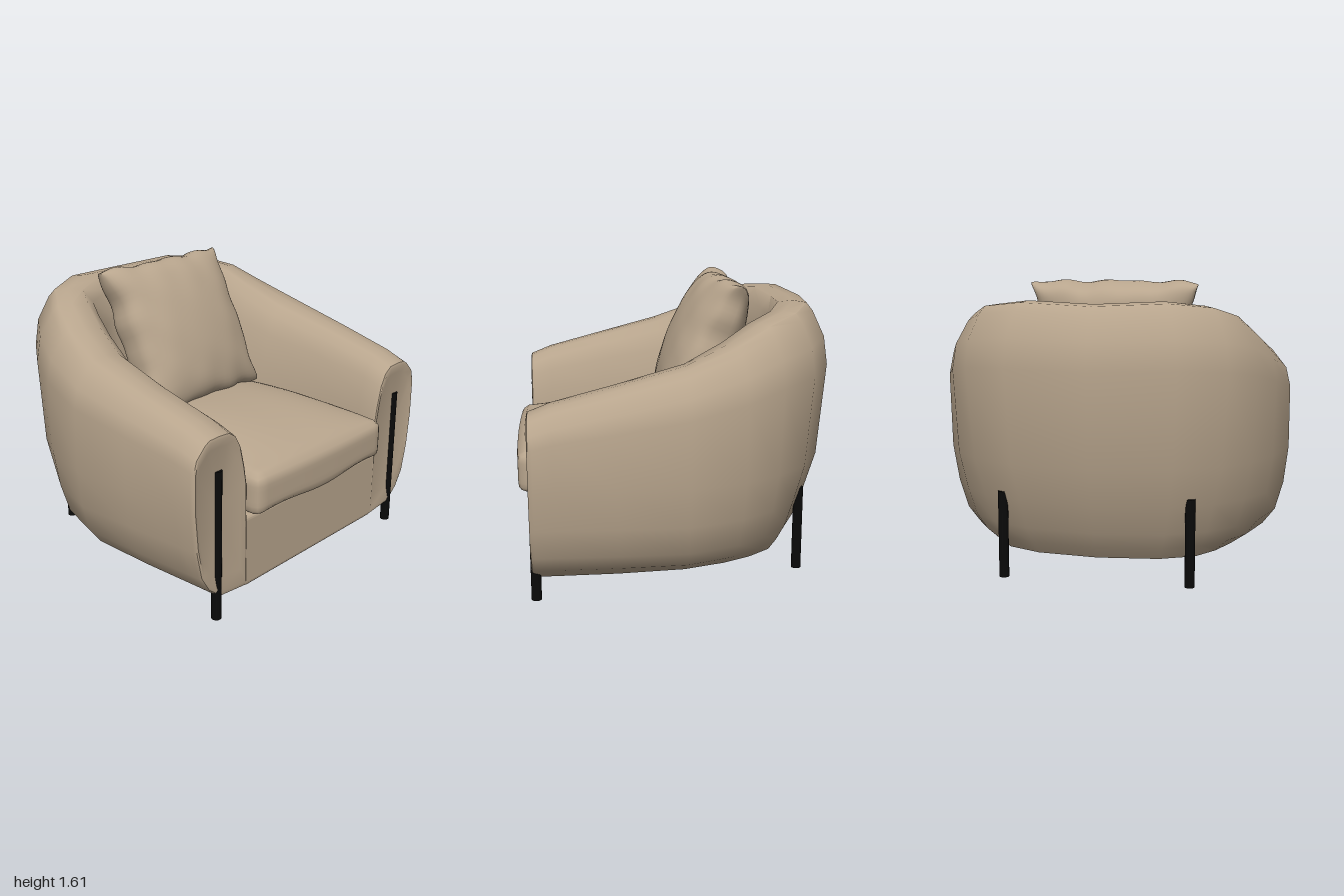
import * as THREE from 'three';
import { mergeVertices, mergeGeometries, toCreasedNormals } from 'three/addons/utils/BufferGeometryUtils.js';

const fabric = new THREE.MeshStandardMaterial({ color: 0xb8a58d });
fabric.name = 'taupe fabric';
const black = new THREE.MeshStandardMaterial({ color: 0x0a0a0a });
black.name = 'black metal';

// Stations of the tub from the left arm front to the back centre:
// outer x, outer z, inner x, inner z, top height, tuck of the lower wall
const half = [
  [0.96, 0.79, 0.56, 0.79, 1.02, 0],
  [0.965, 0.69, 0.56, 0.69, 1.06, 0],
  [0.985, 0.36, 0.55, 0.36, 1.145, 0],
  [1.00, 0.00, 0.50, 0.00, 1.24, 0],
  [0.93, -0.30, 0.46, -0.15, 1.34, 0.2],
  [0.84, -0.50, 0.43, -0.27, 1.43, 0.55],
  [0.70, -0.69, 0.39, -0.37, 1.48, 1],
  [0.45, -0.82, 0.25, -0.42, 1.505, 1],
  [0.00, -0.89, 0.00, -0.43, 1.49, 1],
];
const mirror = half.slice(0, -1).reverse().map(([a, b, c, d, ...rest]) => [-a, b, -c, d, ...rest]);
const stations = [...half, ...mirror];

// Cross-section, s running from inner (0) to outer (1).
// Lower wall: s at the arms, s when tucked, height
const lower = [[0, 0, 0.1], [0.5, 0.42, 0.12], [0.72, 0.53, 0.19], [0.86, 0.64, 0.28], [0.95, 0.76, 0.44], [1, 0.9, 0.65]];
// Upper wall: s, fraction of the height above LOW
const LOW = 0.65;
const upper = [[1, 0.6], [0.95, 0.78], [0.8, 0.94], [0.72, 0.99], [0.55, 1], [0.36, 0.985], [0.24, 0.9], [0.14, 0.71], [0.07, 0.42], [0.02, 0.12]];

function section([ox, oz, ix, iz, top, tuck]) {
  const at = (s, y) => new THREE.Vector3(ix + (ox - ix) * s, y, iz + (oz - iz) * s);
  return [
    ...lower.map(([arm, back, y]) => at(arm + (back - arm) * tuck, y)),
    ...upper.map(([s, f]) => at(s, LOW + (top - LOW) * f)),
  ];
}

function shellGeometry() {
  const rings = stations.map(section);
  // Inset rings make a rolled rim round a slightly sunken arm front
  const inset = (ring, amount, z) => {
    const c = ring.reduce((a, p) => a.add(p), new THREE.Vector3()).divideScalar(ring.length);
    return ring.map((p) => p.clone().lerp(c, amount).setZ(z));
  };
  const rim = (ring) => [inset(ring, 0.2, 0.804), inset(ring, 0.06, 0.815), inset(ring, 0.02, 0.81)];
  const first = rings[0], last = rings[rings.length - 1];
  rings.unshift(...rim(first));
  rings.push(...rim(last).reverse());
  const n = first.length;
  const pos = rings.flat().flatMap((p) => p.toArray());
  const index = [];
  for (let i = 0; i < rings.length - 1; i++) {
    for (let j = 0; j < n; j++) {
      const k = (j + 1) % n;
      const a = i * n + j, b = (i + 1) * n + j, c = (i + 1) * n + k, d = i * n + k;
      index.push(a, b, d, b, c, d);
    }
  }
  // Close the arm fronts with fans
  [[0, 1], [rings.length - 1, -1]].forEach(([r, side]) => {
    const c = pos.length / 3;
    pos.push(side * 0.77, 0.6, 0.804);
    for (let j = 0; j < n; j++) {
      const a = r * n + j, b = r * n + ((j + 1) % n);
      index.push(c, side > 0 ? a : b, side > 0 ? b : a);
    }
  });
  const g = new THREE.BufferGeometry();
  g.setAttribute('position', new THREE.Float32BufferAttribute(pos, 3));
  g.setIndex(index);
  return toCreasedNormals(g, 0.8);
}

// Weld a geometry, move its vertices by a rule and smooth it
function reshape(geometry, rule, crease) {
  geometry.deleteAttribute('uv');
  geometry.deleteAttribute('normal');
  const g = mergeVertices(geometry);
  const p = g.attributes.position;
  const v = new THREE.Vector3();
  for (let i = 0; i < p.count; i++) {
    rule(v.fromBufferAttribute(p, i));
    p.setXYZ(i, v.x, v.y, v.z);
  }
  return toCreasedNormals(g, crease);
}

function seatGeometry() {
  const h = new THREE.Vector3(0.555, 0.11, 0.65), r = 0.045;
  const core = h.clone().subScalar(r);
  return reshape(new THREE.BoxGeometry(2 * h.x, 2 * h.y, 2 * h.z, 28, 8, 32), (v) => {
    const inner = v.clone().clamp(core.clone().negate(), core);
    const d = v.clone().sub(inner);
    const u = v.x / h.x, w = v.z / h.z, up = v.y / h.y;
    if (d.lengthSq() > 0) v.copy(inner).add(d.setLength(r));
    // Crown on top, loose hem below
    const dome = Math.pow(Math.max(0, (1 - Math.abs(u) ** 3) * (1 - w * w)), 0.8);
    v.y += up > 0 ? 0.12 * dome * up : 0.01 * Math.cos(u * 5) * up;
    v.z += w > 0 ? 0.015 * (1 - u * u) * w : 0;
  }, 0.8);
}

function pillowGeometry() {
  const side = (sign) => {
    const g = new THREE.PlaneGeometry(2, 2, 32, 32);
    const p = g.attributes.position;
    for (let i = 0; i < p.count; i++) {
      // Crowd the grid towards the seam, where the cushion curves most
      const u = Math.sin(p.getX(i) * Math.PI / 2) * sign, v = Math.sin(p.getY(i) * Math.PI / 2);
      const edge = Math.max(Math.abs(u), Math.abs(v));
      const ripple = 0.006 * Math.pow(edge, 5);
      const puff = Math.pow(Math.max(0, (1 - u * u) * (1 - v * v)), 0.32);
      const fold = 0.01 * Math.sin(9 * u + 4 * v) * Math.sin(7 * v - 3 * u) * edge * edge;
      p.setXYZ(i,
        u * 0.465 * (1 - 0.11 * (1 - v ** 4)) - 0.02 * v + ripple * (Math.sin(13 * v + 1) + Math.sin(8 * v + 3 * u)),
        v * 0.43 * (1 - 0.02 * (1 - u ** 4)) + ripple * (Math.sin(14 * u) + Math.sin(9 * u + 2)),
        sign * puff * (0.19 + fold));
    }
    return g;
  };
  return reshape(mergeGeometries([side(1), side(-1)]), () => {}, 0.9);
}

function baseGeometry() {
  const outline = stations.map(([, , x, z]) => new THREE.Vector2(x * 0.975, z > 0.7 ? z : z * 1.1));
  const g = new THREE.ExtrudeGeometry(new THREE.Shape(outline), {
    depth: 0.36, bevelEnabled: true, bevelSize: 0.025, bevelThickness: 0.025, bevelSegments: 4,
  });
  g.rotateX(Math.PI / 2);
  g.translate(0, 0.485, 0);
  return g;
}

export function createModel() {
  const model = new THREE.Group();
  model.name = 'armchair';
  const add = (name, geometry, material, x = 0, y = 0, z = 0) => {
    const mesh = new THREE.Mesh(geometry, material);
    mesh.name = name;
    mesh.position.set(x, y, z);
    model.add(mesh);
    return mesh;
  };

  add('tubShell', shellGeometry(), fabric);
  add('seatBase', baseGeometry(), fabric);
  add('seatCushion', seatGeometry(), fabric, 0, 0.622, 0.225);
  add('backPillow', pillowGeometry(), fabric, -0.02, 1.195, -0.18).rotation.x = -0.4;

  // Legs
  const leg = (name, height, x, z) =>
    add(name, new THREE.CylinderGeometry(0.027, 0.027, height, 16), black, x, height / 2, z);
  for (const [label, sx] of [['Left', 1], ['Right', -1]]) {
    leg('front' + label + 'Leg', 0.83, sx * 0.775, 0.793);
    leg('back' + label + 'Leg', 0.48, sx * 0.51, -0.668);
  }
  return model;
}
